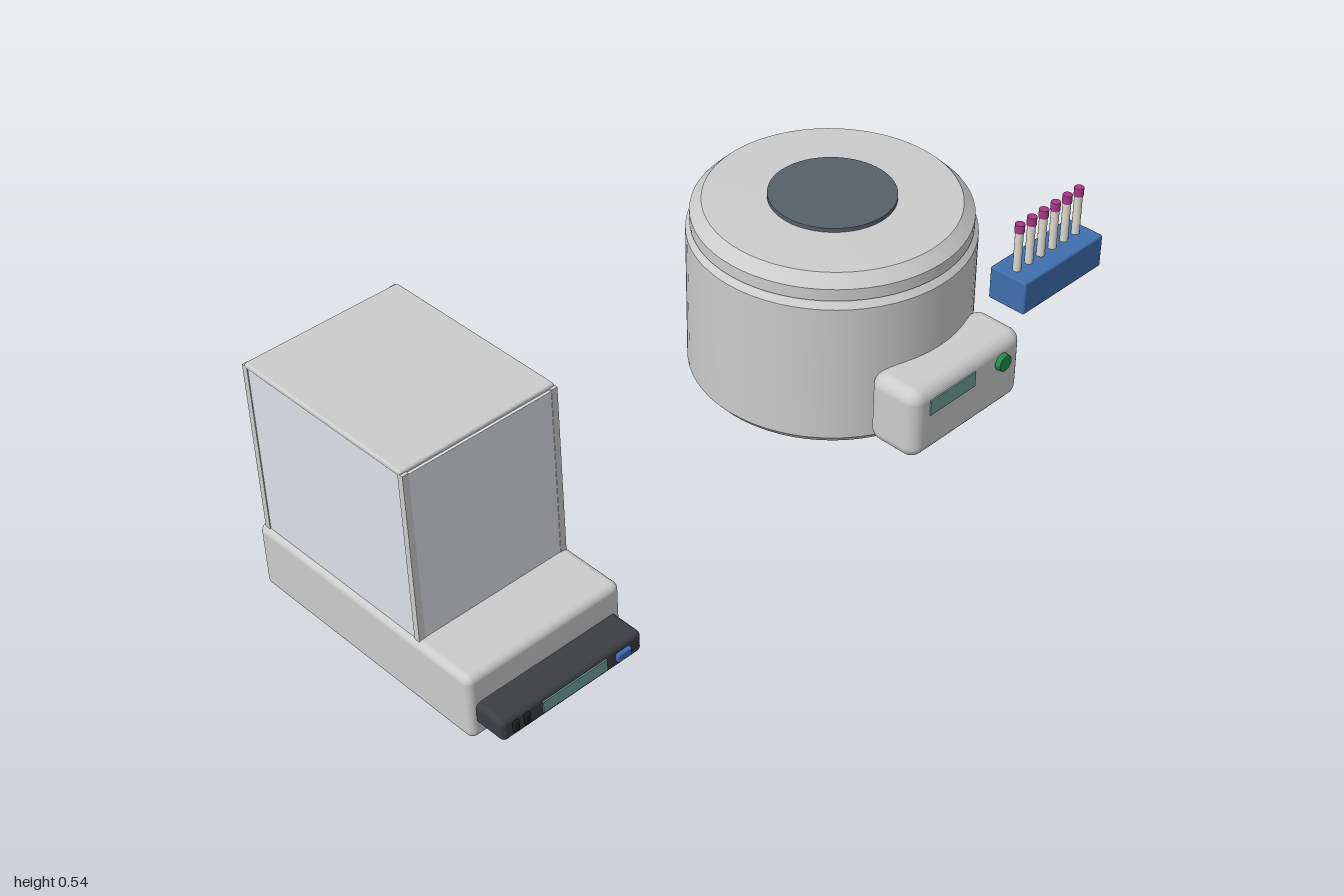
import * as THREE from 'three';
import { RoundedBoxGeometry } from 'three/addons/geometries/RoundedBoxGeometry.js';
import { toCreasedNormals } from 'three/addons/utils/BufferGeometryUtils.js';

const mat = (color) => new THREE.MeshStandardMaterial({ color });
const grey = mat(0xcccccc);
const glass = mat(0xdce0e6);
const dark = mat(0x3c3e42);
const black = mat(0x1c1d20);
const screen = mat(0x6fa097);
const green = mat(0x1f8a45);
const blue = mat(0x3f6eae);
const tubeWhite = mat(0xdedad0);
const magenta = mat(0xa83888);
const slate = mat(0x56606a);

function add(parent, name, geometry, material, x = 0, y = 0, z = 0) {
  const mesh = new THREE.Mesh(geometry, material);
  mesh.name = name;
  mesh.position.set(x, y, z);
  parent.add(mesh);
  return mesh;
}

// Box given by its minimum and maximum on each axis, with optional rounded edges
function box(parent, name, material, [x0, x1], [y0, y1], [z0, z1], r = 0) {
  const size = [x1 - x0, y1 - y0, z1 - z0];
  const geometry = r ? new RoundedBoxGeometry(...size, 4, r) : new THREE.BoxGeometry(...size);
  return add(parent, name, geometry, material, (x0 + x1) / 2, (y0 + y1) / 2, (z0 + z1) / 2);
}

function lathe(points, segments = 64) {
  const profile = points.map(([r, y]) => new THREE.Vector2(r, y));
  return toCreasedNormals(new THREE.LatheGeometry(profile, segments), 0.4);
}

// Round push button facing the front
function button(parent, name, material, x, y, z, r, depth) {
  const mesh = add(parent, name, new THREE.CylinderGeometry(r * 0.9, r, depth, 32), material, x, y, z);
  mesh.rotation.x = Math.PI / 2;
}

function createBalance() {
  const g = new THREE.Group();
  g.name = 'balance';
  box(g, 'balanceBase', grey, [-1, -0.627], [0, 0.15], [-0.332, 0.285], 0.016);

  // Draft shield: posts, panes and lid
  for (const x of [-0.985, -0.641]) {
    for (const z of [-0.311, 0.136]) {
      box(g, 'cornerPost', grey, [x - 0.007, x + 0.007], [0.145, 0.535], [z - 0.007, z + 0.007]);
    }
  }
  for (const z of [-0.311, 0.136]) {
    box(g, 'endPane', glass, [-0.98, -0.646], [0.145, 0.532], [z - 0.006, z + 0.006]);
  }
  for (const x of [-0.985, -0.641]) {
    box(g, 'sidePane', glass, [x - 0.005, x + 0.005], [0.145, 0.532], [-0.306, 0.131]);
  }
  box(g, 'shieldLid', grey, [-0.992, -0.634], [0.528, 0.541], [-0.313, 0.136], 0.005);
  box(g, 'doorHandle', grey, [-0.638, -0.618], [0.476, 0.495], [0.016, 0.083], 0.005);

  // Control panel on the front
  box(g, 'controlPanel', dark, [-0.985, -0.643], [0.036, 0.085], [0.27, 0.357], 0.011);
  box(g, 'balanceScreen', screen, [-0.89, -0.733], [0.048, 0.075], [0.35, 0.36]);
  box(g, 'blueKey', blue, [-0.71, -0.675], [0.051, 0.071], [0.35, 0.365], 0.004);
  for (const x of [-0.955, -0.928]) {
    box(g, 'blackKey', black, [x - 0.007, x + 0.007], [0.048, 0.075], [0.35, 0.363], 0.004);
  }
  return g;
}

function createCentrifuge() {
  const g = new THREE.Group();
  g.name = 'centrifuge';
  const cx = 0.307;
  const cz = -0.054;
  add(g, 'drum', lathe([
    [0, 0], [0.294, 0], [0.309, 0.018], [0.309, 0.346], [0.294, 0.363], [0, 0.363],
  ]), grey, cx, 0, cz);
  add(g, 'drumLid', lathe([
    [0, 0.362], [0.3, 0.362], [0.3, 0.39], [0.275, 0.415], [0.2, 0.417], [0, 0.422],
  ]), grey, cx, 0, cz);
  add(g, 'lidWindow', new THREE.CylinderGeometry(0.137, 0.137, 0.01, 64), slate, cx, 0.423, cz);

  // Control box on the front of the drum
  box(g, 'controlBox', grey, [0.136, 0.479], [0.019, 0.189], [0.212, 0.34], 0.03);
  box(g, 'controlScreen', screen, [0.184, 0.324], [0.122, 0.159], [0.334, 0.343]);
  button(g, 'startButton', green, 0.41, 0.139, 0.343, 0.021, 0.018);
  return g;
}

function createRack() {
  const g = new THREE.Group();
  g.name = 'tubeRack';
  box(g, 'rackBlock', blue, [0.723, 1], [0, 0.085], [0.05, 0.152], 0.005);
  const tube = new THREE.CylinderGeometry(0.0098, 0.0098, 0.12, 20);
  const cap = new THREE.CylinderGeometry(0.0115, 0.0115, 0.021, 20);
  for (let i = 0; i < 6; i++) {
    const x = 0.755 + i * 0.0417;
    add(g, 'testTube', tube, tubeWhite, x, 0.13, 0.1);
    add(g, 'tubeCap', cap, magenta, x, 0.197, 0.1);
  }
  return g;
}

export function createModel() {
  const model = new THREE.Group();
  model.name = 'labBench';
  model.add(createBalance(), createCentrifuge(), createRack());
  return model;
}
